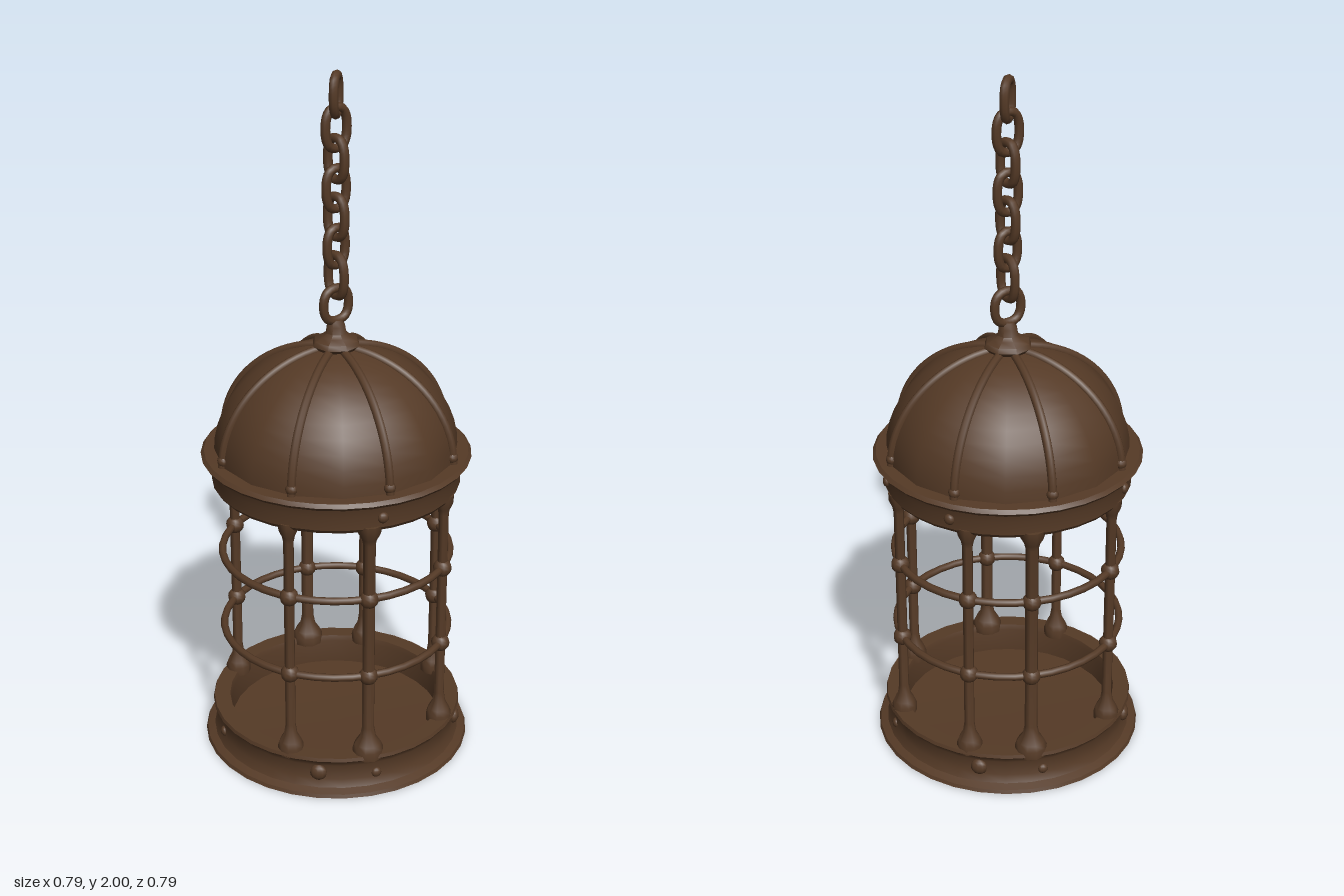
import * as THREE from 'three';
import { toCreasedNormals } from 'three/addons/utils/BufferGeometryUtils.js';

const iron = new THREE.MeshStandardMaterial({ color: 0x553a26, side: THREE.DoubleSide });
iron.name = 'dark brown iron';

const rad = THREE.MathUtils.degToRad;

export function createModel() {
  const model = new THREE.Group();
  model.name = 'hangingCage';

  function add(parent, name, geometry, x = 0, y = 0, z = 0) {
    const mesh = new THREE.Mesh(geometry, iron);
    mesh.name = name;
    mesh.position.set(x, y, z);
    parent.add(mesh);
    return mesh;
  }
  function lathe(points, sides, crease = 0.6) {
    const g = new THREE.LatheGeometry(points.map(p => new THREE.Vector2(p[0], p[1])), sides);
    return toCreasedNormals(g, crease);
  }

  // Base tray: flared foot, wall, top lip and sunken floor
  add(model, 'baseTray', lathe([
    [0, 0], [0.394, 0], [0.39, 0.01], [0.368, 0.018], [0.357, 0.04], [0.357, 0.085], [0.363, 0.1],
    [0.37, 0.106], [0.367, 0.116], [0.32, 0.116], [0.315, 0.1], [0.315, 0.025], [0, 0.02],
  ], 32));

  // Upper band that carries the dome, open in the middle
  add(model, 'upperBand', lathe([
    [0.32, 0.828], [0.347, 0.825], [0.355, 0.836], [0.355, 0.875], [0.362, 0.9], [0.378, 0.907],
    [0.385, 0.916], [0.376, 0.926], [0.335, 0.928], [0.318, 0.91], [0.32, 0.828],
  ], 32));

  // Dome
  const domeR = 0.347, domeBase = 0.92, domeH = 0.313;
  const domePoint = (t, grow = 0) =>
    [(domeR + grow) * Math.cos(t), domeBase + (domeH + grow) * Math.sin(t)];
  const domeProfile = [];
  for (let i = 0; i <= 12; i++) {
    const [r, y] = domePoint((i / 12) * Math.PI / 2);
    domeProfile.push([Math.max(r, 0), y]);
  }
  add(model, 'dome', lathe(domeProfile, 16, 1));

  // Eight ribs over the dome, each with an end rivet
  for (let k = 0; k < 8; k++) {
    const rib = new THREE.Group();
    rib.name = 'domeRib';
    const path = [];
    for (let i = 0; i <= 10; i++) {
      const [r, y] = domePoint(0.02 + (i / 10) * 1.4);
      path.push(new THREE.Vector3(r, y, 0));
    }
    add(rib, 'ribBar', new THREE.TubeGeometry(new THREE.CatmullRomCurve3(path), 20, 0.0125, 8));
    add(rib, 'ribRivet', new THREE.SphereGeometry(0.017, 10, 8), 0.344, 0.945, 0);
    rib.rotation.y = -rad(k * 45 + 1.2);
    model.add(rib);
  }

  // Cap with a tapered neck
  add(model, 'cap', lathe([
    [0, 1.22], [0.06, 1.226], [0.069, 1.238], [0.063, 1.252], [0.04, 1.262],
    [0.03, 1.272], [0.027, 1.292], [0.018, 1.31], [0, 1.313],
  ], 8, 0.9));

  // Upright bars with flared ends; the right side is left open
  const barProfile = [
    [0, 0.1], [0.036, 0.1], [0.037, 0.126], [0.031, 0.142], [0.019, 0.165], [0.0145, 0.195],
    [0.0145, 0.778], [0.018, 0.795], [0.027, 0.815], [0.028, 0.84], [0, 0.84],
  ];
  // [angle, thickness]
  const bars = [[0, 1], [50, 1], [100, 1.2], [139, 1], [-130, 1], [-80, 1.25], [-49, 1]];
  const barR = 0.331, ringHeights = [0.362, 0.607];
  for (const [angle, thickness] of bars) {
    const bar = new THREE.Group();
    bar.name = 'cageBar';
    add(bar, 'barShaft', lathe(barProfile, 10, 0.9)).scale.set(thickness, 1, thickness);
    for (const y of ringHeights) {
      add(bar, 'barKnob', new THREE.SphereGeometry(0.027, 10, 8), 0, y, 0);
    }
    bar.position.set(barR * Math.cos(rad(angle)), 0, barR * Math.sin(rad(angle)));
    model.add(bar);
  }

  // Horizontal hoops
  for (const y of ringHeights) {
    add(model, 'hoop', new THREE.TorusGeometry(0.331, 0.011, 8, 40), 0, y, 0).rotation.x = Math.PI / 2;
  }

  // Studs on the base and the upper band
  function stud(angle, y, r, size) {
    const m = add(model, 'stud', new THREE.SphereGeometry(size, 10, 8),
      r * Math.cos(rad(angle)), y, r * Math.sin(rad(angle)));
    m.rotation.y = -rad(angle);
    m.scale.x = 0.7;
  }
  for (const a of [124, 35, -55, -145]) stud(a, 0.063, 0.356, 0.025);
  for (const a of [97, 2, -85, -175]) stud(a, 0.052, 0.356, 0.015);
  for (const a of [95, 5, -42, -135]) stud(a, 0.865, 0.355, 0.016);

  // Chain of oval links, alternating direction: [height, half width, half height, turn]
  const links = [
    [1.354, 0.042, 0.047, 10], [1.437, 0.037, 0.058, 100], [1.52, 0.032, 0.053, 15],
    [1.603, 0.032, 0.057, 110], [1.682, 0.033, 0.056, 10], [1.763, 0.032, 0.057, 108],
    [1.847, 0.036, 0.055, 12], [1.935, 0.034, 0.052, 53],
  ];
  for (const [y, w, h, turn] of links) {
    const loop = [];
    for (let i = 0; i < 12; i++) {
      const t = (i / 12) * Math.PI * 2, c = Math.cos(t), s = Math.sin(t);
      loop.push(new THREE.Vector3(
        w * Math.sign(c) * Math.abs(c) ** 0.75, h * Math.sign(s) * Math.abs(s) ** 0.85, 0));
    }
    const curve = new THREE.CatmullRomCurve3(loop, true);
    add(model, 'chainLink', new THREE.TubeGeometry(curve, 28, 0.013, 8, true), 0, y, 0).rotation.y = rad(turn);
  }

  return model;
}
